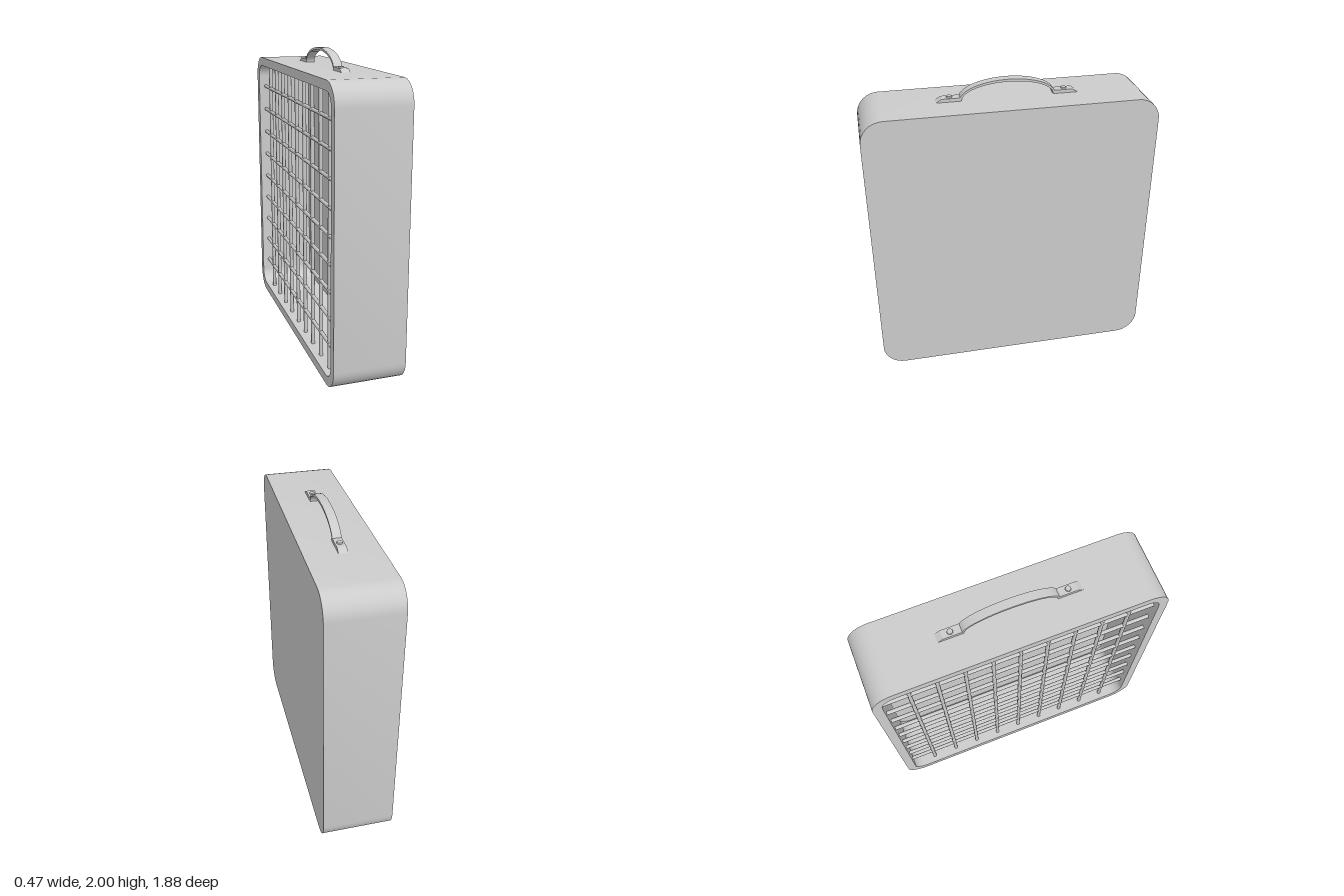
import * as THREE from 'three';
import { toCreasedNormals } from 'three/addons/utils/BufferGeometryUtils.js';

const H = 1.88, HALF = H / 2, DEPTH = 0.47, WALL = 0.06;
const material = new THREE.MeshStandardMaterial({ color: 0xcccccc });

function add(parent, name, geometry, x = 0, y = 0, z = 0) {
  const mesh = new THREE.Mesh(geometry, material);
  mesh.name = name;
  mesh.position.set(x, y, z);
  parent.add(mesh);
  return mesh;
}

// Rounded square loop at a given x, as flat [x, y, z] points
function roundedLoop(x, half, radius, steps = 8) {
  const points = [];
  for (let corner = 0; corner < 4; corner++) {
    const mid = (corner + 0.5) * Math.PI / 2;
    for (let s = 0; s <= steps; s++) {
      const a = (corner + s / steps) * Math.PI / 2;
      points.push([
        x,
        HALF + Math.sign(Math.sin(mid)) * (half - radius) + radius * Math.sin(a),
        Math.sign(Math.cos(mid)) * (half - radius) + radius * Math.cos(a),
      ]);
    }
  }
  return points;
}

// Open tray: closed face on +x, outer wall, rim on -x, inner wall, inner panel
function trayGeometry() {
  const back = DEPTH / 2, inner = HALF - WALL, floor = 0.16;
  const loops = [
    roundedLoop(back, 0, 0),
    roundedLoop(back, HALF, 0.145),
    roundedLoop(-back, HALF, 0.145),
    roundedLoop(-back, inner, 0.09),
    roundedLoop(floor, inner, 0.09),
    roundedLoop(floor, 0, 0),
  ];
  const n = loops[0].length, last = loops.length - 2, index = [];
  for (let i = 0; i <= last; i++) {
    for (let j = 0; j < n; j++) {
      const k = (j + 1) % n;
      const a = i * n + j, b = i * n + k, c = b + n, d = a + n;
      if (i > 0) index.push(a, b, c);
      if (i < last) index.push(a, c, d);
    }
  }
  const geometry = new THREE.BufferGeometry();
  geometry.setAttribute('position', new THREE.Float32BufferAttribute(loops.flat(2), 3));
  geometry.setIndex(index);
  return toCreasedNormals(geometry, 0.6);
}

// Side profile (z, y) extruded across x, centred
function extrudeAcross(shape, width) {
  const geometry = new THREE.ExtrudeGeometry(shape, { depth: width, bevelEnabled: false, curveSegments: 24 });
  geometry.translate(0, 0, -width / 2).rotateY(-Math.PI / 2);
  return toCreasedNormals(geometry, 0.5);
}

export function createModel() {
  const model = new THREE.Group();
  model.name = 'caseWithGrille';
  add(model, 'caseBody', trayGeometry());

  // Wire grille set just inside the open side
  const grille = new THREE.Group();
  grille.name = 'grille';
  model.add(grille);
  const bar = new THREE.CylinderGeometry(0.013, 0.013, 2 * (HALF - WALL), 10);
  for (let i = -4; i <= 4; i++) {
    const offset = i * 0.178;
    add(grille, 'verticalBar', bar, -0.185, HALF, offset);
    add(grille, 'horizontalBar', bar, -0.185, HALF + offset, 0).rotation.x = Math.PI / 2;
  }

  // Carry handle: arched strap, two tapered feet and rivets
  const handle = new THREE.Group();
  handle.name = 'handle';
  handle.position.y = H;
  model.add(handle);
  const arch = new THREE.Shape();
  arch.moveTo(0.308, 0);
  arch.absellipse(0, 0, 0.308, 0.12, 0, Math.PI, false);
  arch.lineTo(-0.294, 0);
  arch.absellipse(0, 0, 0.294, 0.104, Math.PI, 0, true);
  arch.closePath();
  add(handle, 'handleStrap', extrudeAcross(arch, 0.058));

  for (const side of [-1, 1]) {
    const foot = new THREE.Shape([[0.3, 0], [0.455, 0], [0.42, 0.022], [0.3, 0.022]]
      .map(([z, y]) => new THREE.Vector2(side * z, y)));
    add(handle, 'handleFoot', extrudeAcross(foot, 0.058));
    add(handle, 'rivet', new THREE.CylinderGeometry(0.017, 0.019, 0.012, 20), 0, 0.025, side * 0.368);
  }
  return model;
}
